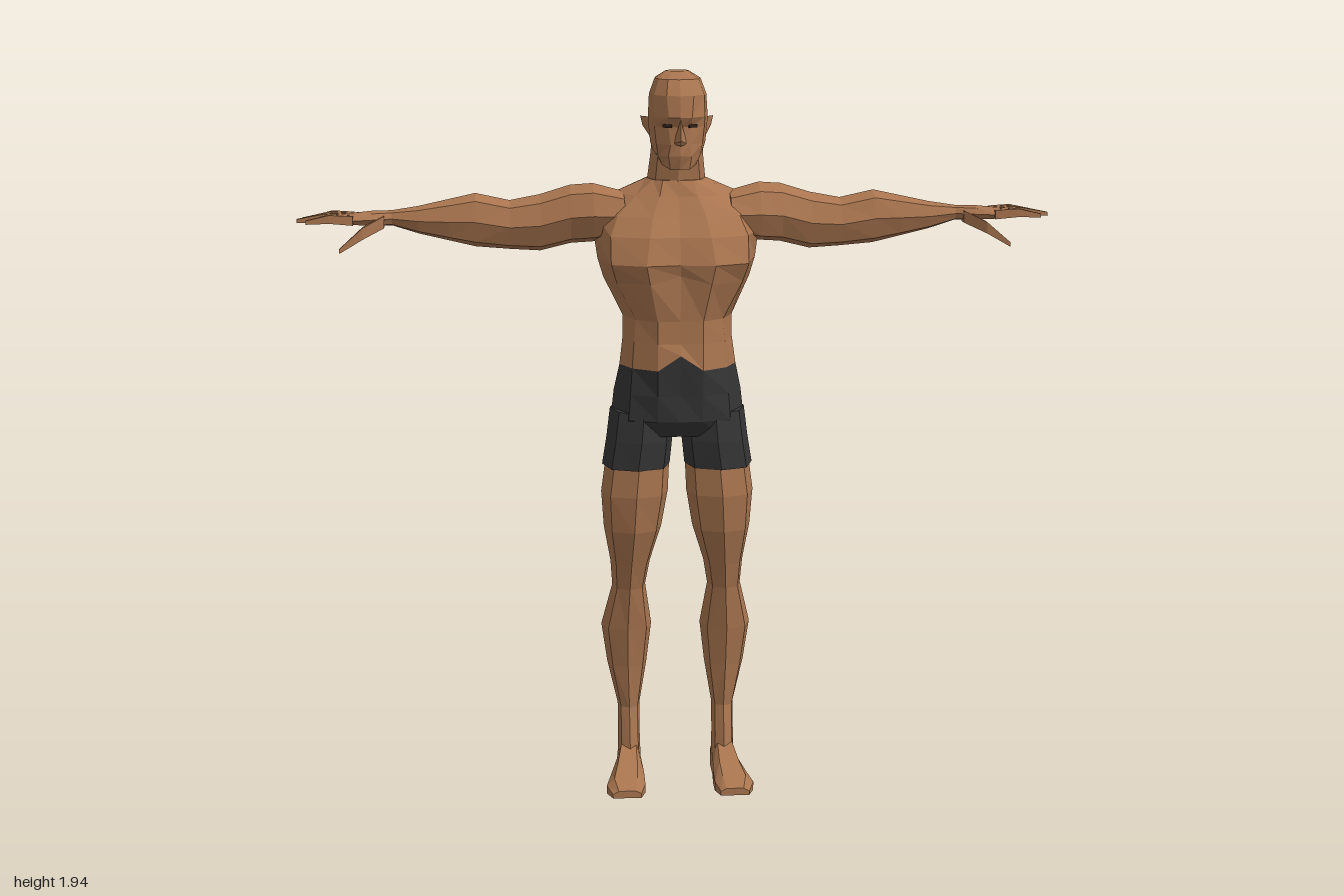
import * as THREE from 'three';
import { ConvexGeometry } from 'three/addons/geometries/ConvexGeometry.js';

const V = (x, y, z) => new THREE.Vector3(x, y, z);

// Faceted skin over closed rings of points, capped at both ends, always facing outwards
function loft(rings) {
  const tris = [];
  const n = rings[0].length;
  for (let i = 0; i < rings.length - 1; i++) {
    const a = rings[i], b = rings[i + 1];
    for (let k = 0; k < n; k++) {
      const m = (k + 1) % n;
      tris.push([a[k], a[m], b[m]], [a[k], b[m], b[k]]);
    }
  }
  [rings[0], rings[rings.length - 1]].forEach((r, end) => {
    const c = r.reduce((s, p) => s.add(p), V(0, 0, 0)).divideScalar(n);
    for (let k = 0; k < n; k++) {
      const m = (k + 1) % n;
      tris.push(end ? [c, r[k], r[m]] : [c, r[m], r[k]]);
    }
  });
  let volume = 0;
  for (const [a, b, c] of tris) volume += a.dot(b.clone().cross(c));
  const points = tris.flatMap(([a, b, c]) => (volume < 0 ? [a, c, b] : [a, b, c]));
  const g = new THREE.BufferGeometry().setFromPoints(points);
  g.computeVertexNormals();
  return g;
}

// Symmetric ring from its left half: [x, z, rise] from front centre to back centre
function bodyRing([y, ...half]) {
  const left = half.map(([x, z, dy = 0]) => V(x, y + dy, z));
  const right = left.slice(1, -1).reverse().map((p) => V(-p.x, p.y, p.z));
  return [...left, ...right];
}

// Eight-sided ring between limits a0..a1 and b0..b1; place(a, b) makes the point
const OCT = [[1, 0], [0.76, 0.74], [0, 1], [-0.76, 0.74], [-1, 0], [-0.76, -0.74], [0, -1], [0.76, -0.74]];
function octRing(a0, a1, b0, b1, place) {
  return OCT.map(([u, v]) => place((a0 + a1) / 2 + u * (a1 - a0) / 2, (b0 + b1) / 2 + v * (b1 - b0) / 2));
}

// Tapering square-section digit through points, each with a half-width
function digit(path, radii) {
  return loft(path.map((p, i) => [[1, 1], [1, -1], [-1, -1], [-1, 1]].map(
    ([u, v]) => V(p[0], p[1] + u * radii[i], p[2] + v * radii[i]))));
}

// Waistline shared by the trunk and the shorts
const WAIST = [1.17, [0, 0.13, 0.04], [0.06, 0.128], [0.125, 0.08], [0.155, 0.01], [0.13, -0.06, -0.03], [0.06, -0.085, -0.04], [0, -0.07, -0.02]];

const TORSO = [
  [1.66, [0, 0.035], [0.04, 0.032], [0.065, 0.01], [0.08, -0.04], [0.07, -0.08], [0.04, -0.105], [0, -0.108]],
  [1.62, [0, 0.05], [0.05, 0.055], [0.11, 0.025], [0.17, -0.05], [0.13, -0.115], [0.06, -0.135], [0, -0.128]],
  [1.57, [0, 0.082], [0.07, 0.09], [0.16, 0.055], [0.22, -0.05], [0.18, -0.145], [0.08, -0.155], [0, -0.14]],
  [1.52, [0, 0.115], [0.08, 0.125], [0.18, 0.085], [0.22, -0.04], [0.19, -0.14], [0.09, -0.155], [0, -0.135]],
  [1.45, [0, 0.135], [0.09, 0.15], [0.18, 0.11], [0.21, -0.03], [0.18, -0.13], [0.08, -0.145], [0, -0.12]],
  [1.4, [0, 0.125, 0.02], [0.08, 0.14], [0.165, 0.09], [0.195, -0.03], [0.165, -0.12], [0.07, -0.125], [0, -0.1]],
  [1.3, [0, 0.12], [0.06, 0.122], [0.115, 0.078], [0.145, 0], [0.12, -0.075], [0.05, -0.09], [0, -0.07]],
  [1.24, [0, 0.12], [0.06, 0.122], [0.12, 0.078], [0.146, 0], [0.12, -0.05], [0.05, -0.065], [0, -0.05]],
];

const PELVIS = [
  [1.1, [0, 0.115], [0.06, 0.12], [0.13, 0.085], [0.17, 0], [0.14, -0.085], [0.07, -0.135], [0, -0.095]],
  [1.03, [0, 0.115], [0.06, 0.112], [0.135, 0.085], [0.178, 0], [0.15, -0.085], [0.08, -0.132], [0, -0.09]],
  [0.985, [0, 0.085], [0.04, 0.085], [0.11, 0.07], [0.15, 0], [0.12, -0.08], [0.06, -0.1], [0, -0.06]],
];

const HEAD = [
  [1.695, [0, 0.1], [0.025, 0.098], [0.045, 0.065, 0.01], [0.055, 0.03, 0.03], [0.05, -0.01, 0.06], [0.03, -0.045, 0.08], [0, -0.05, 0.08]],
  [1.73, [0, 0.112], [0.03, 0.102], [0.055, 0.07], [0.066, 0.02, 0.01], [0.06, -0.02, 0.04], [0.035, -0.06, 0.055], [0, -0.065, 0.055]],
  [1.76, [0, 0.108], [0.025, 0.104], [0.06, 0.075], [0.072, 0.02], [0.068, -0.03, 0.02], [0.04, -0.075, 0.03], [0, -0.08, 0.03]],
  [1.805, [0, 0.108], [0.03, 0.098], [0.065, 0.075], [0.077, 0.02], [0.072, -0.04], [0.045, -0.085], [0, -0.09]],
  [1.83, [0, 0.12], [0.03, 0.115], [0.066, 0.08], [0.078, 0.02], [0.073, -0.04], [0.045, -0.088], [0, -0.094]],
  [1.885, [0, 0.115], [0.035, 0.105], [0.065, 0.07], [0.075, 0.015], [0.068, -0.04], [0.042, -0.08], [0, -0.085]],
  [1.925, [0, 0.085], [0.03, 0.08], [0.052, 0.055], [0.06, 0.01], [0.055, -0.03], [0.035, -0.06], [0, -0.065]],
  [1.943, [0, 0.02], [0.015, 0.02], [0.028, 0.01], [0.03, -0.01], [0.028, -0.02], [0.015, -0.03], [0, -0.035]],
];

// Limb sections: [y, inner x, outer x, back z, front z]
const SHORT_LEG = [[1.05, 0.01, 0.18, -0.115, 0.098], [0.97, 0.012, 0.19, -0.12, 0.104], [0.895, 0.02, 0.202, -0.114, 0.1]];
const LEG = [
  [0.93, 0.02, 0.19, -0.108, 0.094], [0.82, 0.025, 0.205, -0.11, 0.097], [0.72, 0.042, 0.198, -0.118, 0.083],
  [0.62, 0.073, 0.18, -0.1, 0.05], [0.55, 0.085, 0.175, -0.108, 0.03], [0.43, 0.067, 0.204, -0.148, 0.01],
  [0.32, 0.08, 0.188, -0.14, -0.008], [0.2, 0.1, 0.16, -0.12, -0.02], [0.12, 0.1, 0.16, -0.115, -0.003], [0.05, 0.098, 0.16, -0.12, 0.01],
];
// [x, bottom y, top y, back z, front z]
const ARM = [
  [0.14, 1.51, 1.625, -0.13, 0.05], [0.22, 1.49, 1.645, -0.15, 0.04], [0.28, 1.485, 1.64, -0.155, 0.025],
  [0.36, 1.465, 1.615, -0.15, 0.01], [0.44, 1.47, 1.6, -0.14, 0], [0.53, 1.478, 1.62, -0.13, -0.005],
  [0.6, 1.495, 1.605, -0.12, -0.01], [0.68, 1.515, 1.588, -0.1, -0.02], [0.75, 1.537, 1.577, -0.09, -0.035],
  [0.8, 1.537, 1.577, -0.1, -0.015], [0.87, 1.542, 1.57, -0.108, 0.002],
];
// [z, inner x, outer x, top y]
const FOOT = [
  [-0.13, 0.108, 0.15, 0.05], [-0.09, 0.1, 0.16, 0.09], [-0.02, 0.1, 0.165, 0.1],
  [0.05, 0.095, 0.185, 0.062], [0.11, 0.095, 0.2, 0.042], [0.15, 0.108, 0.185, 0.02],
];
// [base z, tip x, tip z]
const FINGERS = [[-0.092, 0.965, -0.092], [-0.065, 0.985, -0.066], [-0.036, 0.998, -0.036], [-0.01, 0.972, -0.002]];

export function createModel() {
  const skin = new THREE.MeshStandardMaterial({ color: 0xa9754f });
  const shorts = new THREE.MeshStandardMaterial({ color: 0x353535 });
  const eyeDark = new THREE.MeshStandardMaterial({ color: 0x2b2019 });
  skin.name = 'skin';
  shorts.name = 'shorts cloth';
  eyeDark.name = 'eye dark';

  const root = new THREE.Group();
  root.name = 'man';
  const add = (name, geometry, material = skin) => {
    const mesh = new THREE.Mesh(geometry, material);
    mesh.name = name;
    root.add(mesh);
    return mesh;
  };

  // Trunk, neck and head
  add('torso', loft([...TORSO, WAIST].map(bodyRing)));
  add('shortsHips', loft([WAIST, ...PELVIS].map(bodyRing)), shorts);
  const neck = [[1.62, 0.085, -0.122, 0.045], [1.66, 0.077, -0.108, 0.036], [1.72, 0.07, -0.082, 0.045], [1.79, 0.064, -0.065, 0.05]];
  add('neck', loft(neck.map(([y, w, b, f]) => octRing(-w, w, b, f, (x, z) => V(x, y, z)))));
  add('head', loft(HEAD.map(bodyRing)));
  add('nose', new ConvexGeometry([
    V(0, 1.825, 0.118), V(0, 1.772, 0.137), V(0, 1.757, 0.122), V(0.018, 1.762, 0.1), V(-0.018, 1.762, 0.1), V(0, 1.81, 0.09)]));

  for (const s of [1, -1]) {
    const side = s > 0 ? 'left' : 'right';

    // Ear and eye
    add(side + 'Ear', new ConvexGeometry([
      V(s * 0.07, 1.825, 0.02), V(s * 0.096, 1.825, -0.015), V(s * 0.09, 1.8, -0.015), V(s * 0.07, 1.77, 0.018), V(s * 0.068, 1.8, -0.025)]));
    const eye = add(side + 'Eye', new THREE.BoxGeometry(0.024, 0.009, 0.006), eyeDark);
    eye.position.set(s * 0.033, 1.808, 0.099);
    eye.rotation.y = s * 0.45;

    // Leg and foot
    const legRing = ([y, xi, xo, b, f]) => octRing(xi, xo, b, f, (x, z) => V(s * x, y, z));
    add(side + 'ShortsLeg', loft(SHORT_LEG.map(legRing)), shorts);
    add(side + 'Leg', loft(LEG.map(legRing)));
    add(side + 'Foot', loft(FOOT.map(([z, xi, xo, t]) => {
      const inset = (xo - xi) * 0.2;
      return [V(s * xi, 0, z), V(s * xo, 0, z), V(s * xo, t * 0.55, z), V(s * (xo - inset), t, z), V(s * (xi + inset), t, z), V(s * xi, t * 0.6, z)];
    })));

    // Arm with palm, fingers and thumb
    add(side + 'Arm', loft(ARM.map(([x, y0, y1, b, f]) => octRing(y0, y1, b, f, (y, z) => V(s * x, y, z)))));
    FINGERS.forEach(([z, tx, tz], i) => {
      add(side + 'Finger' + (i + 1), digit(
        [[s * 0.85, 1.557, z], [s * (0.85 + tx) / 2, 1.562, (z + tz) / 2], [s * tx, 1.554, tz]], [0.012, 0.011, 0.005]));
    });
    add(side + 'Thumb', digit(
      [[s * 0.77, 1.55, -0.04], [s * 0.825, 1.525, 0.005], [s * 0.885, 1.482, 0.03]], [0.016, 0.015, 0.006]));
  }
  return root;
}
